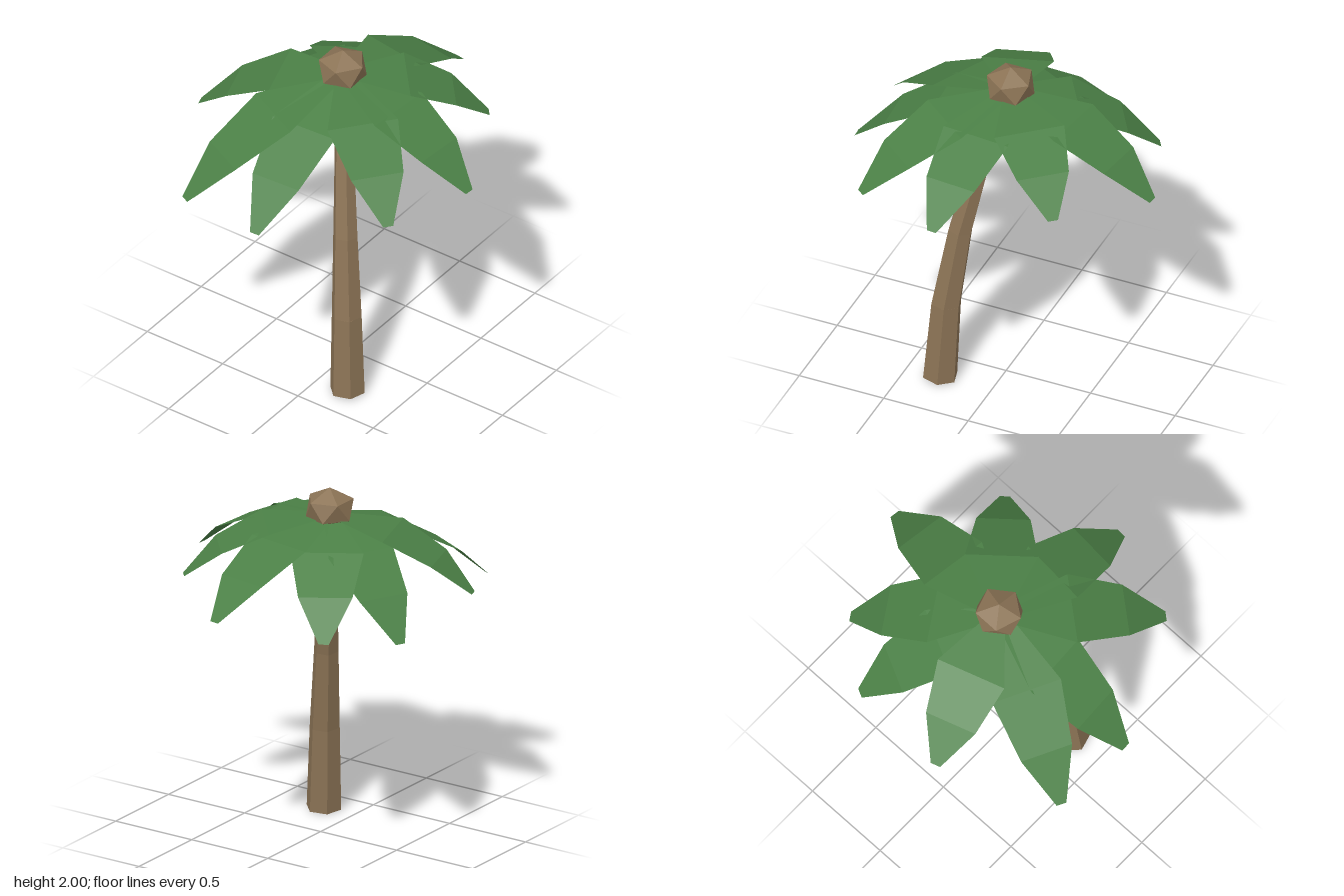
import * as THREE from 'three';

const material = (color, side = THREE.FrontSide) =>
  new THREE.MeshStandardMaterial({ color, side, flatShading: true });

// One drooping frond: flat cross-sections running out along its own +z axis.
function frondGeometry(reach, drop) {
  const extra = drop - 0.36;
  const sections = [ // distance, half width, height
    [0.03, 0.05, 0],
    [0.44 * reach, 0.198, -(0.14 * 0.36 + 0.44 * extra)],
    [0.76 * reach, 0.147, -(0.51 * 0.36 + 0.76 * extra)],
    [reach, 0.028, -drop],
  ];
  const positions = [], index = [];
  sections.forEach(([z, w, y], i) => {
    positions.push(-w, y, z, w, y, z);
    if (i > 0) {
      const a = 2 * (i - 1);
      index.push(a, a + 2, a + 1, a + 1, a + 2, a + 3);
    }
  });
  const geometry = new THREE.BufferGeometry();
  geometry.setAttribute('position', new THREE.Float32BufferAttribute(positions, 3));
  geometry.setIndex(index);
  geometry.computeVertexNormals();
  return geometry;
}

export function createModel() {
  const palm = new THREE.Group();
  palm.name = 'palmTree';
  const bark = material(0x8b7355);
  const green = material(0x4b8046, THREE.DoubleSide);

  // Leaning trunk of tapered six-sided segments
  const trunk = new THREE.Group();
  trunk.name = 'trunk';
  const joints = [ // x, y, z, radius
    [0.19, 0.012, 0.305, 0.099],
    [0.167, 0.49, 0.28, 0.086],
    [0.115, 0.96, 0.22, 0.07],
    [0.04, 1.425, 0.125, 0.056],
    [-0.055, 1.86, 0.01, 0.045],
  ];
  for (let i = 0; i < joints.length - 1; i++) {
    const from = new THREE.Vector3(...joints[i]);
    const to = new THREE.Vector3(...joints[i + 1]);
    const axis = to.clone().sub(from);
    const segment = new THREE.Mesh(
      new THREE.CylinderGeometry(joints[i + 1][3], joints[i][3], axis.length() + 0.006, 6, 1, false, Math.PI / 4),
      bark);
    segment.name = 'trunkSegment' + (i + 1);
    segment.position.copy(from).add(to).multiplyScalar(0.5);
    segment.quaternion.setFromUnitVectors(new THREE.Vector3(0, 1, 0), axis.normalize());
    trunk.add(segment);
  }
  palm.add(trunk);

  // Faceted bud on top, turned so that one corner points straight up
  const budGeometry = new THREE.IcosahedronGeometry(0.145);
  budGeometry.rotateX(-Math.atan(2 / (1 + Math.sqrt(5))));
  const pole = new THREE.Vector3(), p = new THREE.Vector3();
  const corners = budGeometry.attributes.position;
  for (let i = 0; i < corners.count; i++) {
    p.fromBufferAttribute(corners, i);
    if (p.y > pole.y) pole.copy(p);
  }
  budGeometry.applyQuaternion(
    new THREE.Quaternion().setFromUnitVectors(pole.normalize(), new THREE.Vector3(0, 1, 0)));
  // Turn a corner of the upper ring towards +x
  for (let i = 0; i < corners.count; i++) {
    p.fromBufferAttribute(corners, i);
    if (p.y > 0.03 && p.y < 0.1) {
      budGeometry.rotateY(Math.atan2(p.z, p.x));
      break;
    }
  }
  budGeometry.scale(1, 0.79, 1);
  const bud = new THREE.Mesh(budGeometry, bark);
  bud.name = 'crownBud';
  bud.position.set(-0.06, 1.885, 0);
  palm.add(bud);

  // Ring of fronds, each given by its tip
  const fronds = new THREE.Group();
  fronds.name = 'fronds';
  fronds.position.set(-0.06, 1.845, 0);
  const tips = [
    [0.075, 1.47, -0.9], [0.54, 1.53, -0.52], [0.83, 1.475, 0.07],
    [0.65, 1.465, 0.57], [-0.01, 1.325, 0.89], [-0.49, 1.335, 0.865],
    [-0.83, 1.48, 0.25], [-0.775, 1.36, -0.36], [-0.5, 1.4, -0.69],
  ];
  tips.forEach(([x, y, z], i) => {
    const dx = x - fronds.position.x;
    const frond = new THREE.Mesh(frondGeometry(Math.hypot(dx, z), fronds.position.y - y), green);
    frond.name = 'frond' + (i + 1);
    frond.rotation.y = Math.atan2(dx, z);
    fronds.add(frond);
  });
  palm.add(fronds);

  return palm;
}
